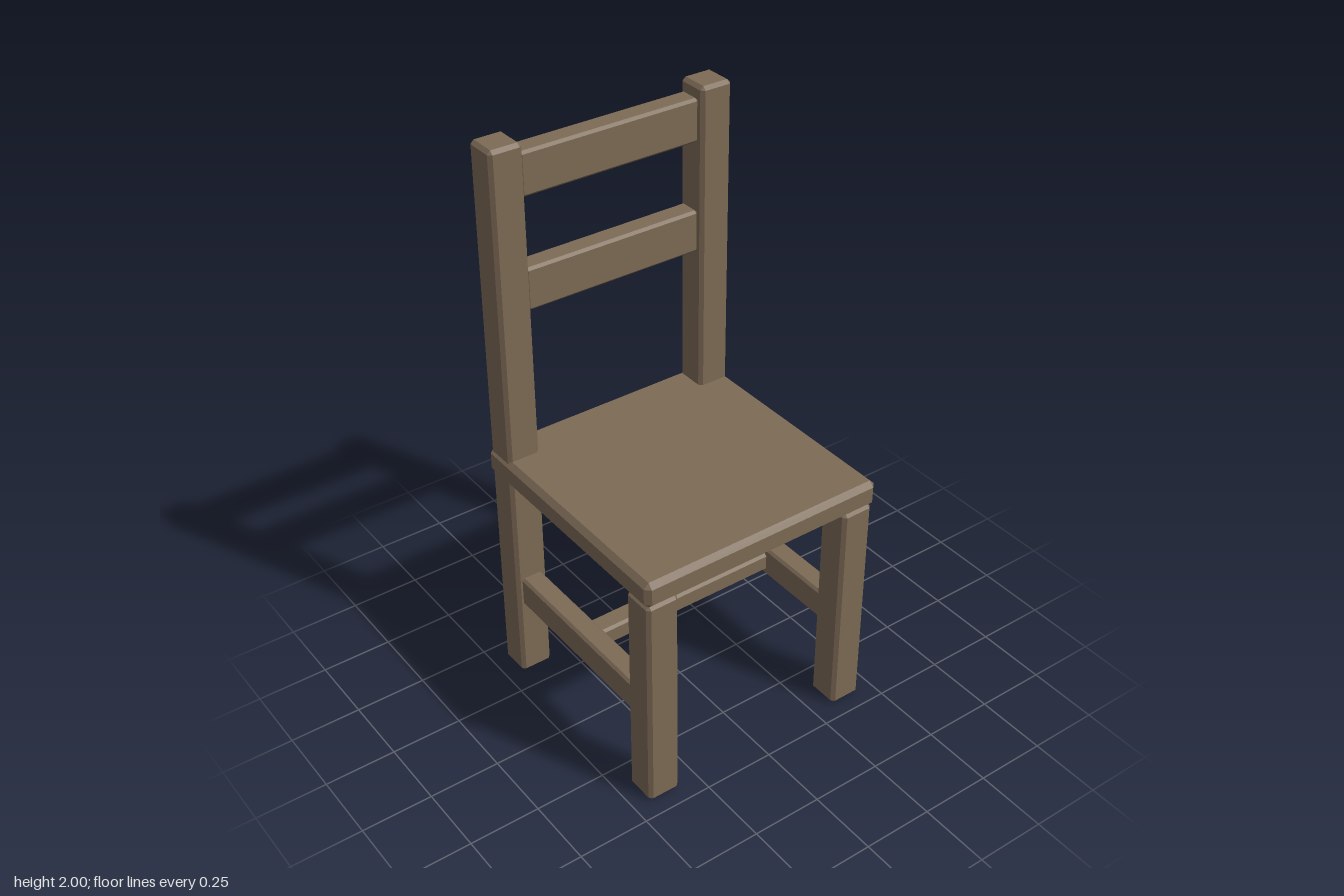
import * as THREE from 'three';
import { ConvexGeometry } from 'three/addons/geometries/ConvexGeometry.js';

const wood = new THREE.MeshStandardMaterial({ color: 0x7c6a55 });
wood.name = 'brown wood';

// Box with all edges chamfered by c
function chamferBox(w, h, d, c) {
  const half = [w / 2, h / 2, d / 2];
  const points = [];
  for (const sx of [-1, 1]) for (const sy of [-1, 1]) for (const sz of [-1, 1]) {
    for (let axis = 0; axis < 3; axis++) {
      const p = half.map((v, i) => (i === axis ? v : v - c));
      points.push(new THREE.Vector3(sx * p[0], sy * p[1], sz * p[2]));
    }
  }
  return new ConvexGeometry(points);
}

export function createModel() {
  const chair = new THREE.Group();
  chair.name = 'chair';

  // Adds a wooden beam spanning the given ranges
  function beam(name, [x0, x1], [y0, y1], [z0, z1], chamfer) {
    const mesh = new THREE.Mesh(chamferBox(x1 - x0, y1 - y0, z1 - z0, chamfer), wood);
    mesh.position.set((x0 + x1) / 2, (y0 + y1) / 2, (z0 + z1) / 2);
    mesh.name = name;
    chair.add(mesh);
  }

  beam('seat', [-0.45, 0.45], [0.81, 0.904], [-0.45, 0.45], 0.018);

  // Legs, tall back posts and side stretchers, mirrored left and right
  for (const [side, s] of [['left', 1], ['right', -1]]) {
    const span = (a, b) => (s > 0 ? [a, b] : [-b, -a]);
    beam(side + 'FrontLeg', span(0.326, 0.442), [0, 0.812], [0.326, 0.442], 0.012);
    beam(side + 'BackPost', span(0.326, 0.442), [0, 2], [-0.442, -0.326], 0.012);
    beam(side + 'Stretcher', span(0.345, 0.423), [0.3, 0.412], [-0.336, 0.336], 0.009);
  }

  // Cross stretcher between the side stretchers
  beam('crossStretcher', [-0.352, 0.352], [0.322, 0.392], [-0.039, 0.039], 0.009);

  // Two back slats
  beam('lowerSlat', [-0.328, 0.328], [1.42, 1.57], [-0.424, -0.346], 0.009);
  beam('upperSlat', [-0.328, 0.328], [1.81, 1.96], [-0.424, -0.346], 0.009);

  return chair;
}
